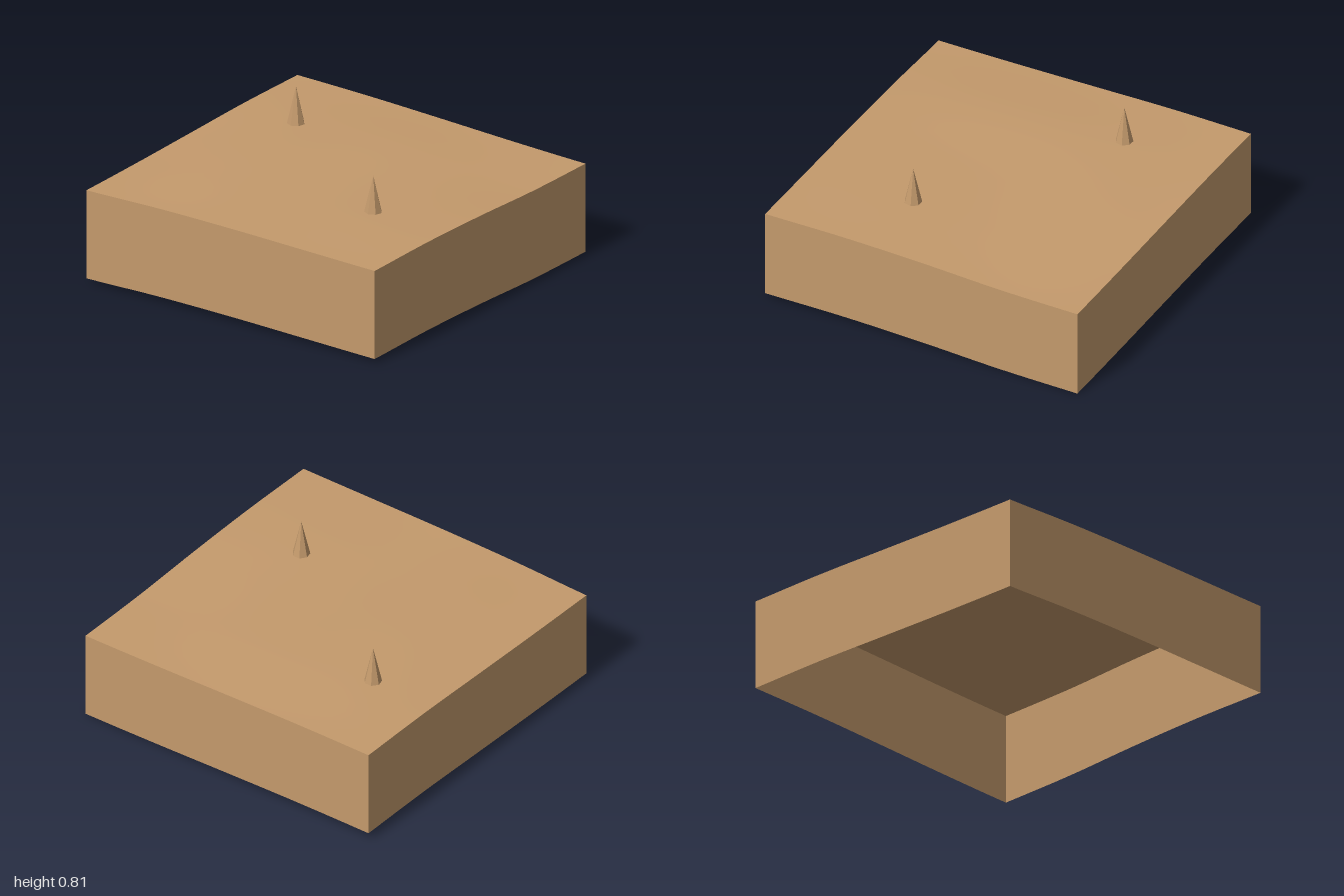
import * as THREE from 'three';

const DEPTH = 0.535; // skirt drop below the ground surface
const N = 24;        // ground subdivisions

// Ground heights: rows run from back to front, columns from x = -1 to x = 1
const HEIGHTS = [
  [0.578, 0.573, 0.56, 0.545, 0.535],
  [0.58, 0.585, 0.575, 0.555, 0.538],
  [0.57, 0.588, 0.575, 0.565, 0.556],
  [0.56, 0.58, 0.572, 0.572, 0.565],
  [0.555, 0.568, 0.57, 0.565, 0.56],
];

// Smooth interpolation through evenly spaced values, t in 0..1
function spline(values, t) {
  const f = Math.min(Math.max(t, 0), 1) * (values.length - 1);
  const i = Math.min(Math.floor(f), values.length - 2);
  const u = f - i;
  const at = (k) => values[Math.min(Math.max(k, 0), values.length - 1)];
  const m0 = (at(i + 1) - at(i - 1)) / 2;
  const m1 = (at(i + 2) - at(i)) / 2;
  const a = u * u * (3 - 2 * u);
  return at(i) * (1 - a) + at(i + 1) * a + m0 * u * (1 - u) ** 2 - m1 * u * u * (1 - u);
}

const groundHeight = (x, z) =>
  spline(HEIGHTS.map((row) => spline(row, (x + 1) / 2)), (z + 1) / 2);

export function createModel() {
  const model = new THREE.Group();
  model.name = 'terrainTile';
  const earth = new THREE.MeshStandardMaterial({ color: 0xc49a6c, side: THREE.DoubleSide });
  earth.name = 'sandy earth';

  const add = (name, geometry) => {
    const mesh = new THREE.Mesh(geometry, earth);
    mesh.name = name;
    model.add(mesh);
    return mesh;
  };

  // Gently rolling ground
  const ground = new THREE.PlaneGeometry(2, 2, N, N).rotateX(-Math.PI / 2);
  const g = ground.attributes.position;
  for (let i = 0; i < g.count; i++) g.setY(i, groundHeight(g.getX(i), g.getZ(i)));
  ground.computeVertexNormals();
  add('ground', ground);

  // Four skirt walls that follow the ground edge, leaving the underside open
  ['frontWall', 'leftWall', 'backWall', 'rightWall'].forEach((name, k) => {
    const wall = new THREE.PlaneGeometry(2, 1, N, 1).translate(0, 0, 1).rotateY(k * Math.PI / 2);
    const p = wall.attributes.position;
    for (let i = 0; i < p.count; i++) {
      const top = groundHeight(p.getX(i), p.getZ(i));
      p.setY(i, p.getY(i) > 0 ? top : top - DEPTH);
    }
    wall.computeVertexNormals();
    add(name, wall);
  });

  // Two slender seven-sided spikes standing on the ground
  for (const [name, x, z, tip] of [
    ['backSpike', -0.585, -0.42, 0.81],
    ['frontSpike', 0.5, 0.33, 0.79],
  ]) {
    const base = groundHeight(x, z) - 0.008;
    const cone = new THREE.ConeGeometry(0.053, tip - base, 7).toNonIndexed();
    cone.computeVertexNormals();
    add(name, cone).position.set(x, (tip + base) / 2, z);
  }

  return model;
}
